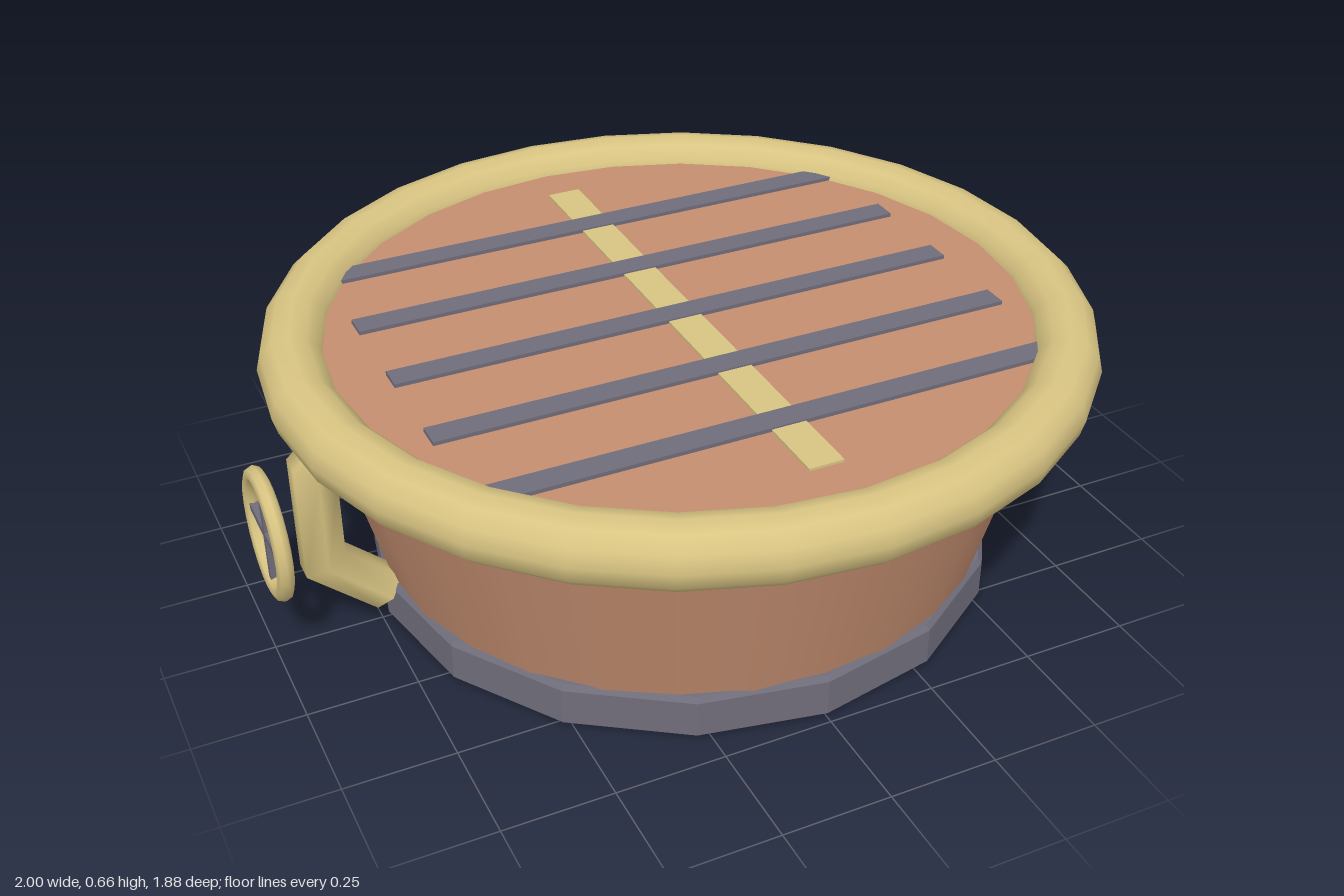
import * as THREE from 'three';

const mat = (name, color) => {
  const m = new THREE.MeshStandardMaterial({ color });
  m.name = name;
  return m;
};

// Hexagonal tube along a polyline in the xy plane, with mitred corners and a closed lower end
function mitredTube(path, radius, sides = 6) {
  const pts = path.map(([x, y]) => new THREE.Vector2(x, y));
  const rings = pts.map((p, i) => {
    const before = p.clone().sub(pts[Math.max(i - 1, 0)]).normalize();
    const after = pts[Math.min(i + 1, pts.length - 1)].clone().sub(p).normalize();
    const t = before.clone().add(after).normalize();
    const stretch = 1 / Math.max(t.dot(i ? before : after), 0.3);
    return { p, nx: -t.y * stretch, ny: t.x * stretch, r: radius };
  });
  const end = rings[rings.length - 1];
  rings.push({ ...end }, { ...end, r: 0 });

  const pos = [], index = [];
  rings.forEach(({ p, nx, ny, r }, i) => {
    for (let j = 0; j < sides; j++) {
      const a = (j / sides) * Math.PI * 2;
      const s = Math.sin(a) * r;
      pos.push(p.x + nx * s, p.y + ny * s, Math.cos(a) * r);
      if (i === rings.length - 1) continue;
      const k = (j + 1) % sides;
      const A = i * sides + j, B = i * sides + k, C = A + sides, D = B + sides;
      index.push(A, C, B, B, C, D);
    }
  });
  const g = new THREE.BufferGeometry();
  g.setAttribute('position', new THREE.Float32BufferAttribute(pos, 3));
  g.setIndex(index);
  g.computeVertexNormals();
  return g;
}

export function createModel() {
  const wood = mat('warm wood', 0xc48e70);
  const gold = mat('pale gold', 0xd8c482);
  const iron = mat('grey iron', 0x706d7b);

  const model = new THREE.Group();
  model.name = 'roundTub';
  const add = (name, geometry, material, parent = model) => {
    const mesh = new THREE.Mesh(geometry, material);
    mesh.name = name;
    parent.add(mesh);
    return mesh;
  };

  // Tapered body; its top cap is the lid surface
  const bottomY = 0.006, lidY = 0.612;
  add('body', new THREE.CylinderGeometry(0.85, 0.69, lidY - bottomY, 28), wood)
    .position.y = (lidY + bottomY) / 2;

  // Thick rounded rim
  add('rim', new THREE.TorusGeometry(0.865, 0.075, 12, 28).rotateX(Math.PI / 2), gold)
    .position.y = 0.588;

  // Faceted hoop with small bevels round the foot
  const hoopProfile = [
    [0.68, 0], [0.722, 0], [0.735, 0.012], [0.735, 0.098], [0.725, 0.11], [0.68, 0.11], [0.68, 0],
  ].map(([r, y]) => new THREE.Vector2(r, y));
  const hoop = new THREE.LatheGeometry(hoopProfile, 16).toNonIndexed();
  hoop.computeVertexNormals();
  add('baseHoop', hoop, iron);

  // Lid inlays: one lengthwise strip crossed by five bars
  add('lidStrip', new THREE.BoxGeometry(0.08, 0.008, 1.36), gold).position.y = lidY + 0.002;
  for (let i = -2; i <= 2; i++) {
    add('lidBar', new THREE.BoxGeometry(1.36, 0.009, 0.06), iron)
      .position.set(0, lidY + 0.005, i * 0.246);
  }

  // A bent handle with a spoked wheel on each side
  const handlePath = [[0.74, 0.56], [0.87, 0.445], [0.87, 0.205], [0.735, 0.085]];
  const handleGeometry = mitredTube(handlePath, 0.053);
  const wheelGeometry = new THREE.TorusGeometry(0.133, 0.019, 8, 24).rotateY(Math.PI / 2);
  for (const [side, turn] of [['left', 0], ['right', Math.PI]]) {
    const group = new THREE.Group();
    group.name = side + 'HandleGroup';
    group.rotation.y = turn;
    model.add(group);
    add(side + 'Handle', handleGeometry, gold, group);

    const wheel = new THREE.Group();
    wheel.name = side + 'Wheel';
    wheel.position.set(0.981, 0.308, 0);
    group.add(wheel);
    add('wheelRing', wheelGeometry, gold, wheel);
    add('uprightSpoke', new THREE.BoxGeometry(0.018, 0.26, 0.018), iron, wheel);
    add('levelSpoke', new THREE.BoxGeometry(0.018, 0.018, 0.26), iron, wheel);
  }

  return model;
}
